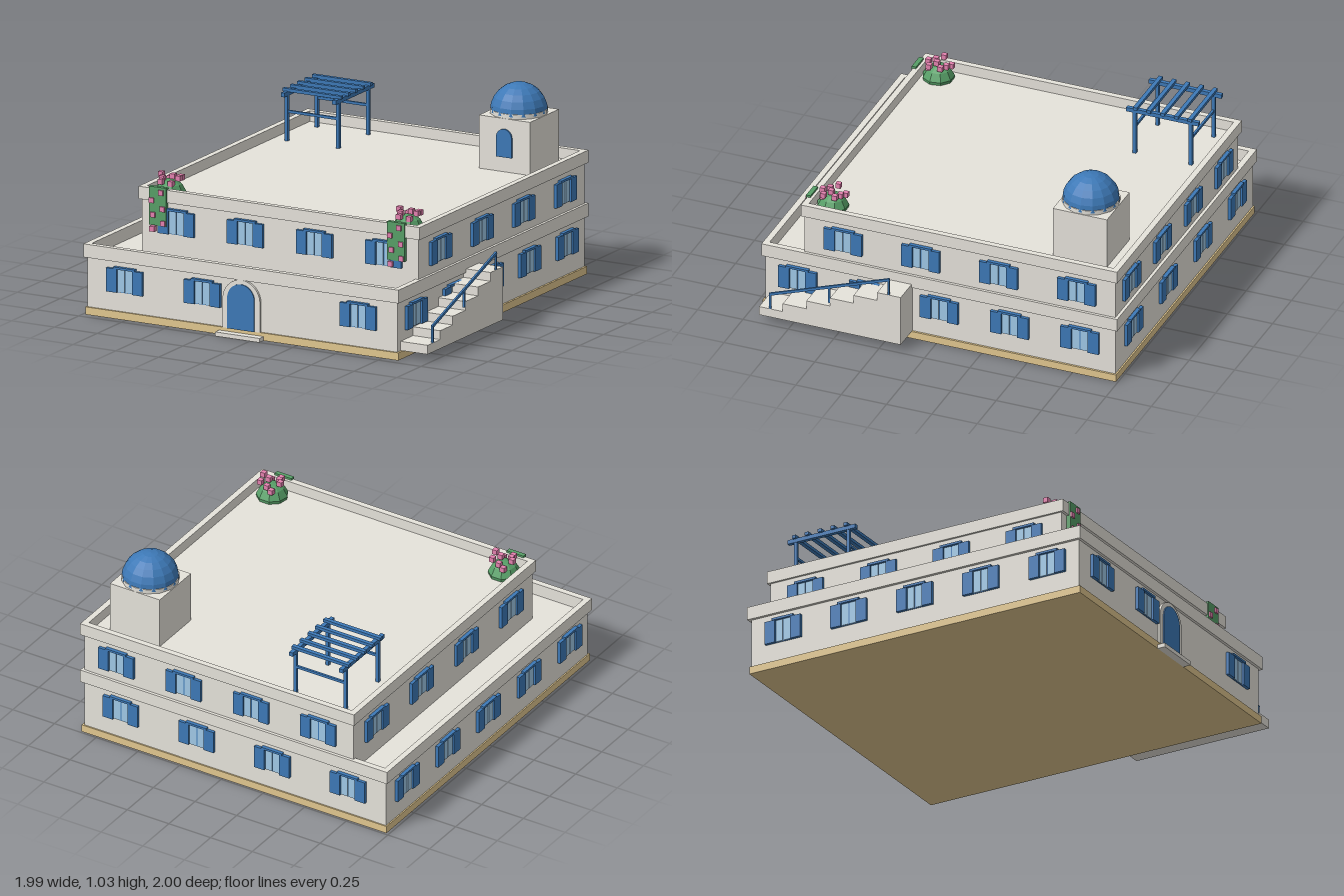
import * as THREE from 'three';

const mat = (name, color) => {
  const m = new THREE.MeshStandardMaterial({ color });
  m.name = name;
  return m;
};

export function createModel() {
  const white = mat('whitewash', 0xe6e3db);
  const sand = mat('sandstone', 0xe2c890);
  const blue = mat('blue paint', 0x3d79b7);
  const glass = mat('window glass', 0xa5cfee);
  const green = mat('foliage', 0x579f67);
  const pink = mat('blossom', 0xe582b0);
  const house = new THREE.Group();
  house.name = 'house';

  const add = (parent, name, geo, material) => {
    const m = new THREE.Mesh(geo, material);
    m.name = name;
    parent.add(m);
    return m;
  };
  // Box given by its min and max on each axis
  const box = (parent, name, material, x0, x1, y0, y1, z0, z1) => {
    const m = add(parent, name, new THREE.BoxGeometry(x1 - x0, y1 - y0, z1 - z0), material);
    m.position.set((x0 + x1) / 2, (y0 + y1) / 2, (z0 + z1) / 2);
    return m;
  };
  const group = (name, x = 0, y = 0, z = 0, ry = 0) => {
    const g = new THREE.Group();
    g.name = name;
    g.position.set(x, y, z);
    g.rotation.y = ry;
    house.add(g);
    return g;
  };
  // Round-topped outline standing on y = 0
  const archShape = (half, height) => {
    const s = new THREE.Shape();
    s.moveTo(-half, 0).lineTo(half, 0).lineTo(half, height - half);
    s.absarc(0, height - half, half, 0, Math.PI, false);
    s.lineTo(-half, 0);
    return s;
  };
  const extrude = (shape, depth) =>
    new THREE.ExtrudeGeometry(shape, { depth, bevelEnabled: false, curveSegments: 12 });

  // Two storeys on a plinth
  box(house, 'plinth', sand, -0.985, 0.843, 0, 0.04, -0.99, 0.957);
  box(house, 'lowerStorey', white, -0.978, 0.832, 0.04, 0.305, -0.982, 0.947);
  box(house, 'upperStorey', white, -0.783, 0.832, 0.305, 0.595, -0.982, 0.73);

  // Parapets: frames around each roof
  const parapet = (name, x0, x1, z0, z1, y, h) => {
    const rect = (C, i) => {
      const p = new C();
      p.moveTo(x0 + i, -z1 + i).lineTo(x1 - i, -z1 + i).lineTo(x1 - i, -z0 - i).lineTo(x0 + i, -z0 - i);
      p.closePath();
      return p;
    };
    const s = rect(THREE.Shape, 0);
    s.holes.push(rect(THREE.Path, 0.032));
    const m = add(house, name, extrude(s, h), white);
    m.rotation.x = -Math.PI / 2;
    m.position.y = y;
  };
  parapet('lowerParapet', -0.994, 0.847, -0.998, 0.962, 0.302, 0.07);
  parapet('upperParapet', -0.795, 0.847, -0.998, 0.745, 0.585, 0.066);

  // Shuttered windows, built facing +z and turned to each wall
  const makeWindow = (x, y, z, ry) => {
    const g = group('window', x, y, z, ry);
    box(g, 'frame', blue, -0.052, 0.052, 0, 0.13, -0.005, 0.004);
    for (const s of [-1, 1]) {
      box(g, 'pane', glass, s * 0.0235 - 0.02, s * 0.0235 + 0.02, 0.003, 0.122, 0, 0.008);
      box(g, 'shutter', blue, s * 0.075 - 0.03, s * 0.075 + 0.03, 0, 0.124, -0.002, 0.017);
    }
    box(g, 'lintel', blue, -0.062, 0.062, 0.123, 0.135, -0.002, 0.02);
  };
  const lowY = 0.14, highY = 0.42, H = Math.PI / 2;
  const lowX = [-0.755, -0.302, 0.152, 0.608], highX = [-0.577, -0.174, 0.23, 0.634];
  const lowZ = [0.765, 0.375, -0.015, -0.403, -0.79], highZ = [0.515, 0.087, -0.342, -0.772];
  lowX.forEach((x, i) => {
    if (i !== 2) makeWindow(x, lowY, 0.947, 0);
    makeWindow(x, lowY, -0.982, Math.PI);
  });
  highX.forEach((x) => {
    makeWindow(x, highY, 0.73, 0);
    makeWindow(x, highY, -0.982, Math.PI);
  });
  for (const z of lowZ) {
    makeWindow(0.832, lowY, z, H);
    makeWindow(-0.978, lowY, z, -H);
  }
  for (const z of highZ) {
    makeWindow(0.832, highY, z, H);
    makeWindow(-0.783, highY, z, -H);
  }

  // Arched front door with surround and step
  const door = group('frontDoor', -0.073, 0.04, 0.94);
  add(door, 'doorSurround', extrude(archShape(0.109, 0.262), 0.02), white);
  add(door, 'doorLeaf', extrude(archShape(0.079, 0.24), 0.026), blue);
  box(house, 'doorStep', white, -0.203, 0.056, 0, 0.022, 0.94, 1);

  // Outside stair: six solid steps
  const stair = group('stair');
  for (let i = 0; i < 6; i++) {
    const z1 = 0.915 - i * 0.13;
    box(stair, 'step', white, 0.83, 0.99, 0.042, 0.09 + i * 0.0462, z1 - 0.13, z1);
  }
  // Handrail
  const zA = 0.855, yA = 0.175, zB = 0.203, yB = 0.408;
  const rail = add(stair, 'handrail',
    new THREE.BoxGeometry(0.011, 0.014, Math.hypot(zA - zB, yB - yA) + 0.01), blue);
  rail.position.set(0.985, (yA + yB) / 2, (zA + zB) / 2);
  rail.rotation.x = Math.atan2(yB - yA, zA - zB);
  [[zA, 0.09, yA], [0.53, 0.2, 0.291], [zB, 0.32, yB]].forEach(([z, y0, y1]) =>
    box(stair, 'railPost', blue, 0.98, 0.99, y0, y1, z - 0.005, z + 0.005));

  // Domed roof hut
  const hut = group('domeHut', 0.584, 0, -0.745);
  box(hut, 'hutWalls', white, -0.149, 0.149, 0.59, 0.875, -0.149, 0.149);
  const drum = add(hut, 'drum', new THREE.CylinderGeometry(0.149, 0.149, 0.03, 14), white);
  drum.position.y = 0.884;
  const domeGeo = new THREE.SphereGeometry(0.148, 14, 6, 0, Math.PI * 2, 0, H).toNonIndexed();
  domeGeo.computeVertexNormals();
  add(hut, 'dome', domeGeo, blue).position.y = 0.885;
  add(hut, 'hutDoor', extrude(archShape(0.045, 0.148), 0.012), blue).position.set(0, 0.673, 0.146);

  // Pergola
  const pergola = group('pergola');
  const pz = [-0.892, -0.817, -0.741, -0.666, -0.59];
  for (const x of [-0.68, -0.38]) {
    for (const z of [pz[0], -0.583]) {
      box(pergola, 'post', blue, x - 0.009, x + 0.009, 0.59, 0.84, z - 0.009, z + 0.009);
    }
    box(pergola, 'beam', blue, x - 0.011, x + 0.011, 0.834, 0.856, -0.938, -0.538);
  }
  for (const z of pz) box(pergola, 'slat', blue, -0.704, -0.362, 0.853, 0.87, z - 0.011, z + 0.011);
  for (const z of [pz[0], -0.583]) {
    box(pergola, 'crossRail', blue, -0.68, -0.38, 0.743, 0.757, z - 0.006, z + 0.006);
  }

  // Flowering bushes with trailing vines over the front parapet
  const bushGeo = new THREE.LatheGeometry(
    [[0.08, 0], [0.084, 0.02], [0.062, 0.06], [0.033, 0.08], [0, 0.084]].map(([r, y]) => new THREE.Vector2(r, y)),
    9).toNonIndexed();
  bushGeo.computeVertexNormals();
  const flowerGeo = new THREE.BoxGeometry(0.027, 0.027, 0.027);
  const vineFlowers = [[-0.03, 0.44], [0.033, 0.475], [-0.025, 0.515], [0.03, 0.55], [-0.033, 0.59], [0.02, 0.635]];
  for (const x of [-0.68, 0.712]) {
    const plant = group('floweringPlant', x, 0, 0);
    add(plant, 'bush', bushGeo, green).position.set(0, 0.592, 0.625);
    box(plant, 'vine', green, -0.05, 0.05, 0.46, 0.662, 0.728, 0.752);
    for (let i = 0; i < 9; i++) {
      const a = i * 2.4, r = 0.02 + 0.05 * Math.sqrt(i / 8);
      add(plant, 'blossom', flowerGeo, pink)
        .position.set(Math.cos(a) * r, 0.695 - (i % 4) * 0.01, 0.625 + Math.sin(a) * r);
    }
    for (const [fx, fy] of vineFlowers) {
      add(plant, 'blossom', flowerGeo, pink).position.set(fx, fy, 0.747);
    }
  }
  return house;
}
